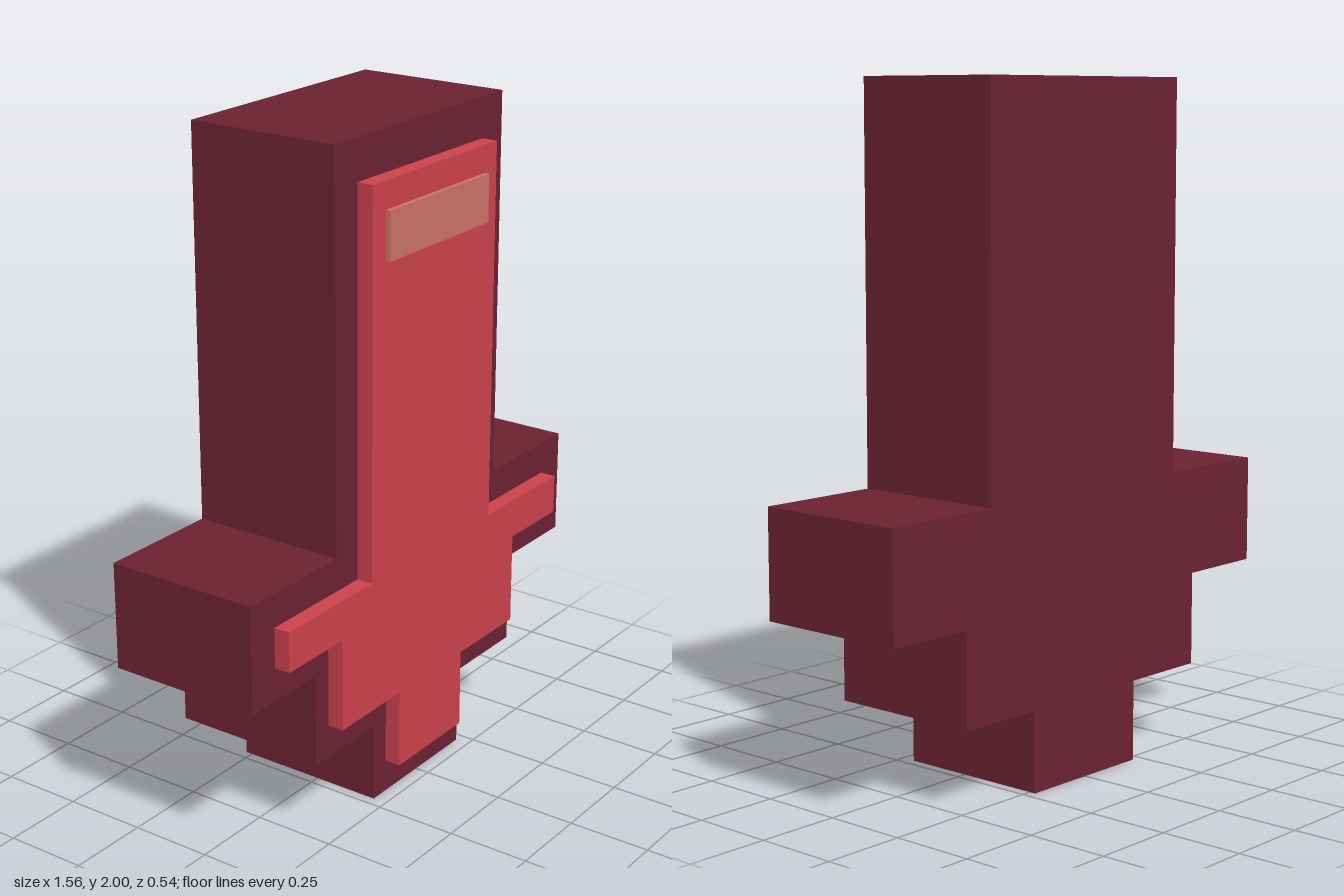
import * as THREE from 'three';

// Symmetric stepped outline from its +x half, listed from top to bottom
function steppedShape(half) {
  const right = half.map(([x, y]) => new THREE.Vector2(x, y));
  const left = half.map(([x, y]) => new THREE.Vector2(-x, y)).reverse();
  return new THREE.Shape([...right, ...left]);
}

function slab(name, half, back, front, material) {
  const geometry = new THREE.ExtrudeGeometry(steppedShape(half), {
    depth: front - back,
    bevelEnabled: false,
  });
  geometry.translate(0, 0, back);
  const mesh = new THREE.Mesh(geometry, material);
  mesh.name = name;
  return mesh;
}

function flat(name, color) {
  const material = new THREE.MeshStandardMaterial({ color });
  material.name = name;
  return material;
}

export function createModel() {
  const group = new THREE.Group();
  group.name = 'steppedArrow';

  const maroon = flat('dark maroon', 0x6b2233);
  const red = flat('bright red', 0xcb414b);
  const rose = flat('dusty rose', 0xc97166);

  // Thick dark body: shaft, wide shoulders, two steps down to the tip
  group.add(slab('body', [
    [0.4, 2], [0.4, 0.84], [0.78, 0.84], [0.78, 0.52],
    [0.5, 0.52], [0.5, 0.24], [0.22, 0.24], [0.22, 0],
  ], -0.27, 0.207, maroon));

  // Raised inset panel on the front
  group.add(slab('frontPanel', [
    [0.3, 1.88], [0.3, 0.74], [0.68, 0.74], [0.68, 0.62],
    [0.44, 0.62], [0.44, 0.34], [0.16, 0.34], [0.16, 0.1],
  ], 0.207, 0.256, red));

  // Pale highlight bar near the top of the panel
  group.add(slab('highlightBar', [[0.24, 1.8], [0.24, 1.66]], 0.256, 0.271, rose));

  return group;
}
